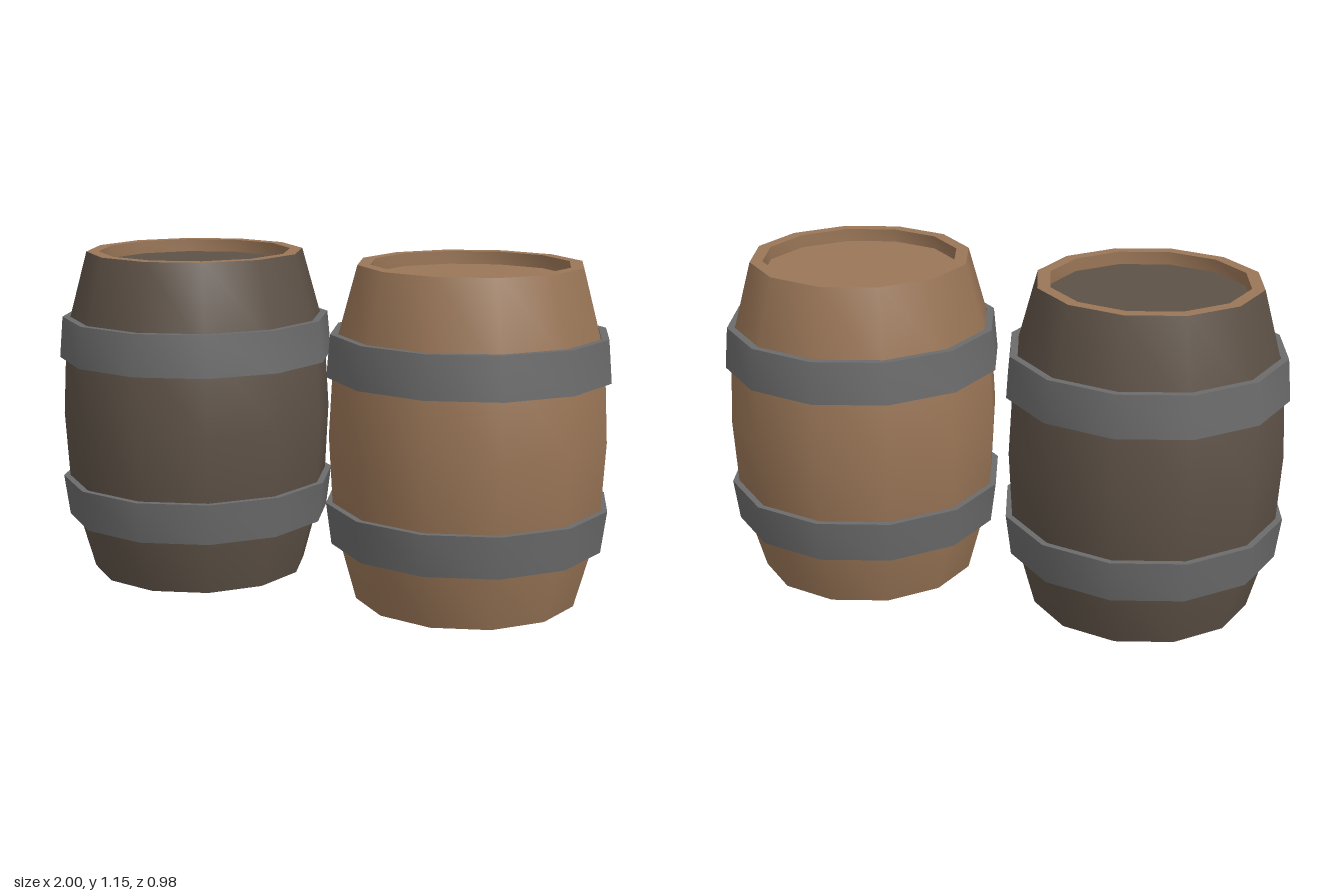
import * as THREE from 'three';
import { toCreasedNormals } from 'three/addons/utils/BufferGeometryUtils.js';

const SIDES = 12;
const HEIGHT = 1.155;
const RIM_OUTER = 0.384;
const RIM_INNER = 0.34;
const RECESS = 0.045;

function material(name, color) {
  const m = new THREE.MeshStandardMaterial({ color });
  m.name = name;
  return m;
}

function part(name, geometry, mat) {
  const mesh = new THREE.Mesh(geometry, mat);
  mesh.name = name;
  return mesh;
}

// Twelve-sided turned shape: smooth around, sharp at real corners
function turned(points) {
  const lathe = new THREE.LatheGeometry(points.map(([r, y]) => new THREE.Vector2(r, y)), SIDES);
  return toCreasedNormals(lathe, 0.7);
}

// Round head board facing up (1) or down (-1)
function headBoard(y, facing) {
  return new THREE.CircleGeometry(RIM_INNER, SIDES).rotateX(-facing * Math.PI / 2).translate(0, y, 0);
}

// Iron hoop with a sloped face and a visible thickness
function hoop(y0, r0, y1, r1) {
  const t = 0.026;
  return turned([[r0 - t, y0], [r0, y0], [r1, y1], [r1 - t, y1], [r0 - t, y0]]);
}

function barrel(name, x, wood, trim, iron) {
  const group = new THREE.Group();
  group.name = name;
  group.position.x = x;
  const top = HEIGHT - RECESS;

  group.add(
    // bulging staves
    part('staves', turned([
      [RIM_OUTER, 0], [0.463, 0.289], [0.479, HEIGHT / 2], [0.463, 0.866], [RIM_OUTER, HEIGHT],
    ]), wood),
    // top rim with its inner wall, and the sunken lid
    part('topRim', turned([[RIM_OUTER, HEIGHT], [RIM_INNER, HEIGHT], [RIM_INNER, top]]), trim),
    part('lid', headBoard(top, 1), wood),
    // bottom rim, inner wall and sunken base
    part('bottomRim', turned([[RIM_INNER, 0], [RIM_OUTER, 0]]), wood),
    part('bottomInnerWall', turned([[RIM_INNER, RECESS], [RIM_INNER, 0]]), trim),
    part('base', headBoard(RECESS, -1), wood),
    // iron hoops
    part('lowerHoop', hoop(0.2, 0.47, 0.345, 0.489), iron),
    part('upperHoop', hoop(0.78, 0.488, 0.925, 0.475), iron),
  );
  return group;
}

export function createModel() {
  const brown = material('brownWood', 0x9a7657);
  const dark = material('darkWood', 0x5e5247);
  const iron = material('iron', 0x6c6b6b);

  const model = new THREE.Group();
  model.name = 'barrelPair';
  model.add(
    barrel('brownBarrel', 0.511, brown, brown, iron),
    barrel('darkBarrel', -0.511, dark, brown, iron),
  );
  return model;
}
